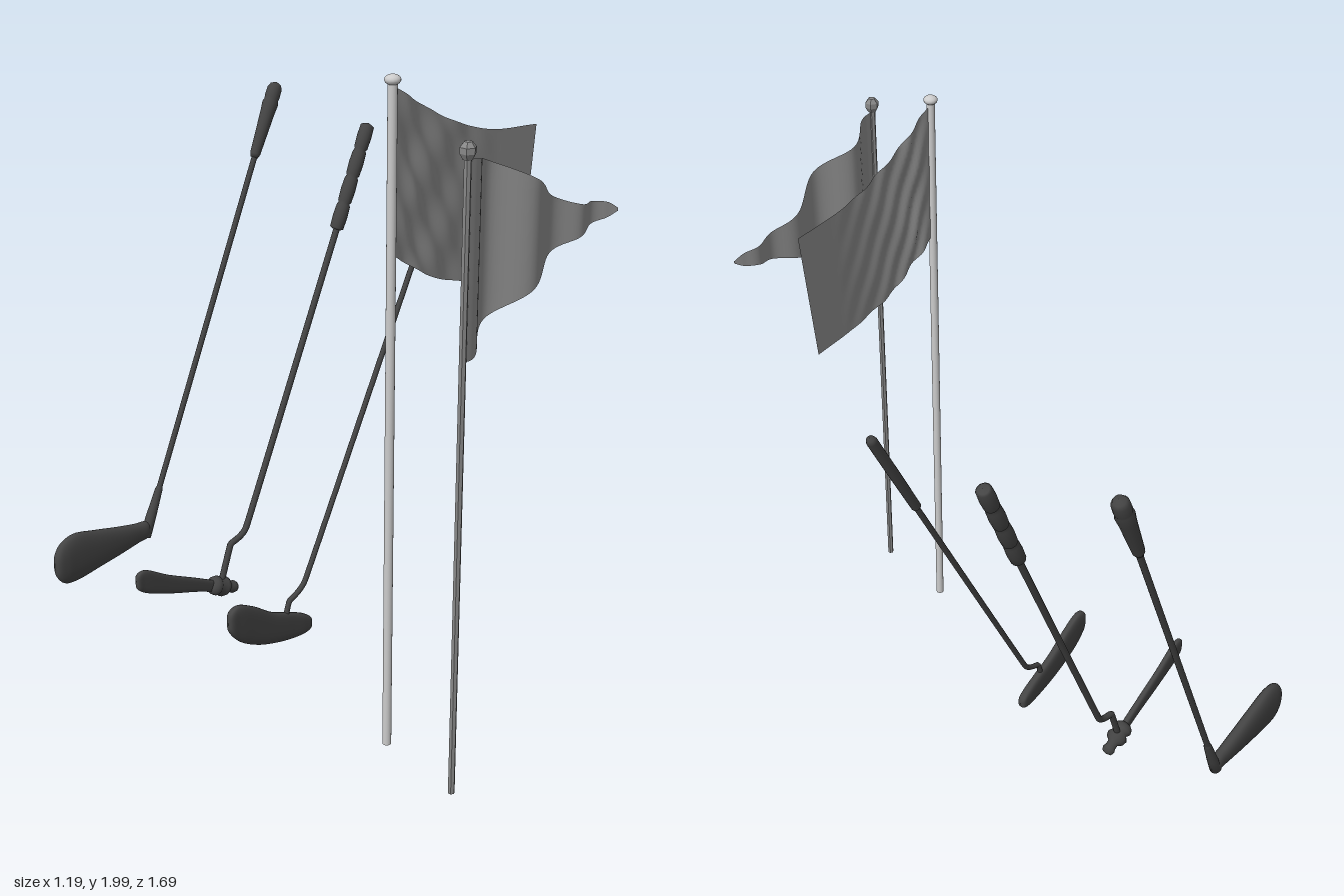
import * as THREE from 'three';

const mat = (color, flat = false, side = THREE.FrontSide) =>
  new THREE.MeshStandardMaterial({ color, flatShading: flat, side });
const dark = mat(0x444444);
const silver = mat(0xcccccc);
const grey = mat(0x888888);
const greyFacet = mat(0x888888, true);
const cloth = mat(0x8c8c8c, false, THREE.DoubleSide);

function add(group, name, geometry, material) {
  const mesh = new THREE.Mesh(geometry, material);
  mesh.name = name;
  group.add(mesh);
  return mesh;
}

// Round part along the line a-b; profile rows are [fraction of length, radius]
function turned(a, b, profile, sides = 16) {
  const from = new THREE.Vector3(...a, 0), dir = new THREE.Vector3(...b, 0).sub(from);
  const len = dir.length();
  const geo = new THREE.LatheGeometry(profile.map(([t, r]) => new THREE.Vector2(r, t * len)), sides);
  const q = new THREE.Quaternion().setFromUnitVectors(new THREE.Vector3(0, 1, 0), dir.normalize());
  return geo.applyQuaternion(q).translate(from.x, from.y, 0);
}

// Bent rod through points in the xy plane
function rod(points, radius) {
  const path = new THREE.CatmullRomCurve3(points.map(([x, y]) => new THREE.Vector3(x, y, 0)), false, 'catmullrom', 0.1);
  return new THREE.TubeGeometry(path, 160, radius, 10);
}

// Smooth solid through upright sections [x, top, bottom, half depth], closed at both ends
function loft(stations, power) {
  const path = (f) => new THREE.CatmullRomCurve3(stations.map(f));
  const edges = path(([x, t, b]) => new THREE.Vector3(x, t, b));
  const depth = path(([x, , , d]) => new THREE.Vector3(x, d, 0));
  const rows = 48, sides = 28, pos = [], idx = [];
  const pw = (v) => Math.sign(v) * Math.abs(v) ** power;
  for (let i = 0; i <= rows; i++) {
    const e = edges.getPoint(i / rows), d = Math.max(0, depth.getPoint(i / rows).y);
    for (let j = 0; j < sides; j++) {
      const t = j / sides * Math.PI * 2;
      pos.push(e.x, (e.y + e.z) / 2 + (e.y - e.z) / 2 * pw(Math.cos(t)), d * pw(Math.sin(t)));
      if (i < rows) {
        const a = i * sides + j, c = i * sides + (j + 1) % sides;
        idx.push(a, c, a + sides, c, c + sides, a + sides);
      }
    }
  }
  const geo = new THREE.BufferGeometry();
  geo.setAttribute('position', new THREE.Float32BufferAttribute(pos, 3));
  geo.setIndex(idx);
  geo.computeVertexNormals();
  return geo;
}

// Cloth sheet from surface rule f(u, v), v = 0 at the top edge
function sheet(f, nu, nv) {
  const geo = new THREE.PlaneGeometry(1, 1, nu, nv), p = geo.attributes.position;
  for (let i = 0; i < p.count; i++) p.setXYZ(i, ...f(p.getX(i) + 0.5, 0.5 - p.getY(i)));
  geo.computeVertexNormals();
  return geo;
}

function pennant() {
  const g = new THREE.Group();
  g.name = 'pennantFlag';
  add(g, 'pole', new THREE.CylinderGeometry(0.01, 0.01, 1.84, 6), greyFacet).position.set(-0.47, 0.935, 0.82);
  add(g, 'poleKnob', turned([0, 1.845], [0, 1.89],
    [[0, 0], [0, 0.013], [0.35, 0.022], [0.7, 0.022], [1, 0.011], [1, 0]], 6), greyFacet).position.set(-0.47, 0, 0.82);
  // Sections: x, top, bottom, z
  const s = [[-0.465, 1.845, 1.315, 0.82], [-0.41, 1.835, 1.32, 0.813], [-0.31, 1.80, 1.375, 0.755],
    [-0.19, 1.74, 1.44, 0.823], [-0.065, 1.66, 1.503, 0.777], [0.03, 1.622, 1.53, 0.807],
    [0.1, 1.612, 1.548, 0.788], [0.15, 1.602, 1.558, 0.805], [0.18, 1.582, 1.574, 0.82]];
  const top = new THREE.CatmullRomCurve3(s.map(([x, t, , z]) => new THREE.Vector3(x, t, z)), false, 'catmullrom');
  const low = new THREE.CatmullRomCurve3(s.map(([x, , b, z]) => new THREE.Vector3(x, b, z)), false, 'catmullrom');
  add(g, 'pennantCloth', sheet((u, v) => top.getPoint(u).lerp(low.getPoint(u), v).toArray(), 72, 8), cloth);
  return g;
}

function banner() {
  const g = new THREE.Group();
  g.name = 'bannerFlag';
  add(g, 'pole', new THREE.CylinderGeometry(0.013, 0.013, 1.97, 16), silver).position.set(-0.415, 0.995, 0.525);
  const knob = add(g, 'poleKnob', new THREE.SphereGeometry(0.022, 16, 10), silver);
  knob.position.set(-0.415, 1.986, 0.525);
  knob.scale.y = 0.65;
  const edge = (pts) => new THREE.CatmullRomCurve3(pts.map(([x, y]) => new THREE.Vector3(x, y, 0)));
  const top = edge([[-0.41, 1.968], [-0.2, 1.85], [-0.02, 1.787], [0.188, 1.764]]);
  const low = edge([[-0.41, 1.52], [-0.23, 1.412], [-0.04, 1.36], [0.137, 1.34]]);
  // Diagonal creases fade away from the pole
  add(g, 'bannerCloth', sheet((u, v) => {
    const p = top.getPoint(u).lerp(low.getPoint(u), v);
    const fade = Math.max(0, 1 - u * 1.3) * Math.min(1, u * 8);
    const z = 0.008 * fade * (Math.sin(34 * u - 17 * v) + 0.5 * Math.sin(21 * u + 9 * v));
    return [p.x, p.y, 0.525 + z];
  }, 60, 40), cloth);
  return g;
}

function bladePutter() {
  const g = new THREE.Group();
  g.name = 'bladePutter';
  g.position.z = -0.095;
  add(g, 'shaft', rod([[-0.225, 0.09], [-0.205, 0.15], [-0.13, 0.2], [0.42, 1.24]], 0.009), dark);
  add(g, 'grip', turned([0.4, 1.205], [0.582, 1.55],
    [[0, 0], [0, 0.01], [0.02, 0.015], [0.5, 0.016], [0.95, 0.016], [0.985, 0.012], [1, 0]]), dark);
  add(g, 'head', loft([[-0.472, 0.185, 0.175, 0], [-0.465, 0.215, 0.145, 0.013], [-0.43, 0.228, 0.1, 0.016],
    [-0.36, 0.195, 0.057, 0.016], [-0.28, 0.14, 0.028, 0.016], [-0.2, 0.105, 0.01, 0.016],
    [-0.14, 0.075, 0.006, 0.016], [-0.115, 0.055, 0.015, 0.013], [-0.108, 0.037, 0.032, 0]], 0.6), dark);
  return g;
}

function barPutter() {
  const g = new THREE.Group();
  g.name = 'barPutter';
  g.position.z = -0.455;
  add(g, 'shaft', rod([[-0.18, 0.06], [-0.13, 0.195], [-0.055, 0.235], [0.41, 1.23]], 0.011), dark);
  // Grip of four sleeves with narrow grooves
  const profile = [[0, 0], [0, 0.014]];
  for (let i = 0; i < 4; i++) {
    const t = i * 0.25;
    profile.push([t + 0.015, 0.023], [t + 0.12, 0.025], [t + 0.225, 0.023]);
    if (i < 3) profile.push([t + 0.25, 0.019]);
  }
  profile.push([0.985, 0.016], [1, 0]);
  add(g, 'grip', turned([0.392, 1.195], [0.55, 1.535], profile), dark);
  add(g, 'headBar', loft([[-0.542, 0.222, 0.212, 0], [-0.537, 0.24, 0.188, 0.009], [-0.51, 0.247, 0.166, 0.011],
    [-0.4, 0.185, 0.118, 0.011], [-0.28, 0.124, 0.074, 0.011], [-0.19, 0.076, 0.034, 0.011]], 0.6), dark);
  // Ringed collar and heel, in line with the bar
  add(g, 'headCollar', turned([-0.225, 0.075], [-0.112, 0.022],
    [[0, 0], [0, 0.018], [0.08, 0.03], [0.2, 0.034], [0.3, 0.026], [0.42, 0.036], [0.55, 0.032],
      [0.64, 0.018], [0.76, 0.018], [0.85, 0.022], [0.95, 0.018], [1, 0]]), dark);
  return g;
}

function driver() {
  const g = new THREE.Group();
  g.name = 'driver';
  g.position.z = -0.82;
  add(g, 'shaft', rod([[-0.185, 0.165], [0.375, 1.415]], 0.01), dark);
  add(g, 'neck', turned([-0.205, 0.12], [-0.13, 0.288],
    [[0, 0], [0, 0.02], [0.4, 0.018], [0.95, 0.013], [1, 0.01]]), dark);
  add(g, 'grip', turned([0.36, 1.385], [0.475, 1.632],
    [[0, 0], [0, 0.013], [0.05, 0.018], [0.6, 0.025], [0.72, 0.028], [0.76, 0.024], [0.8, 0.026],
      [0.92, 0.025], [0.97, 0.018], [1, 0]]), dark);
  add(g, 'head', loft([[-0.596, 0.165, 0.145, 0], [-0.588, 0.197, 0.11, 0.016], [-0.56, 0.232, 0.078, 0.024],
    [-0.51, 0.246, 0.072, 0.026], [-0.42, 0.226, 0.083, 0.026], [-0.32, 0.2, 0.097, 0.024],
    [-0.24, 0.182, 0.11, 0.021], [-0.195, 0.175, 0.115, 0.018], [-0.175, 0.152, 0.13, 0]], 0.85), dark);
  return g;
}

export function createModel() {
  const model = new THREE.Group();
  model.name = 'flagsAndClubs';
  model.add(pennant(), banner(), bladePutter(), barPutter(), driver());
  return model;
}
